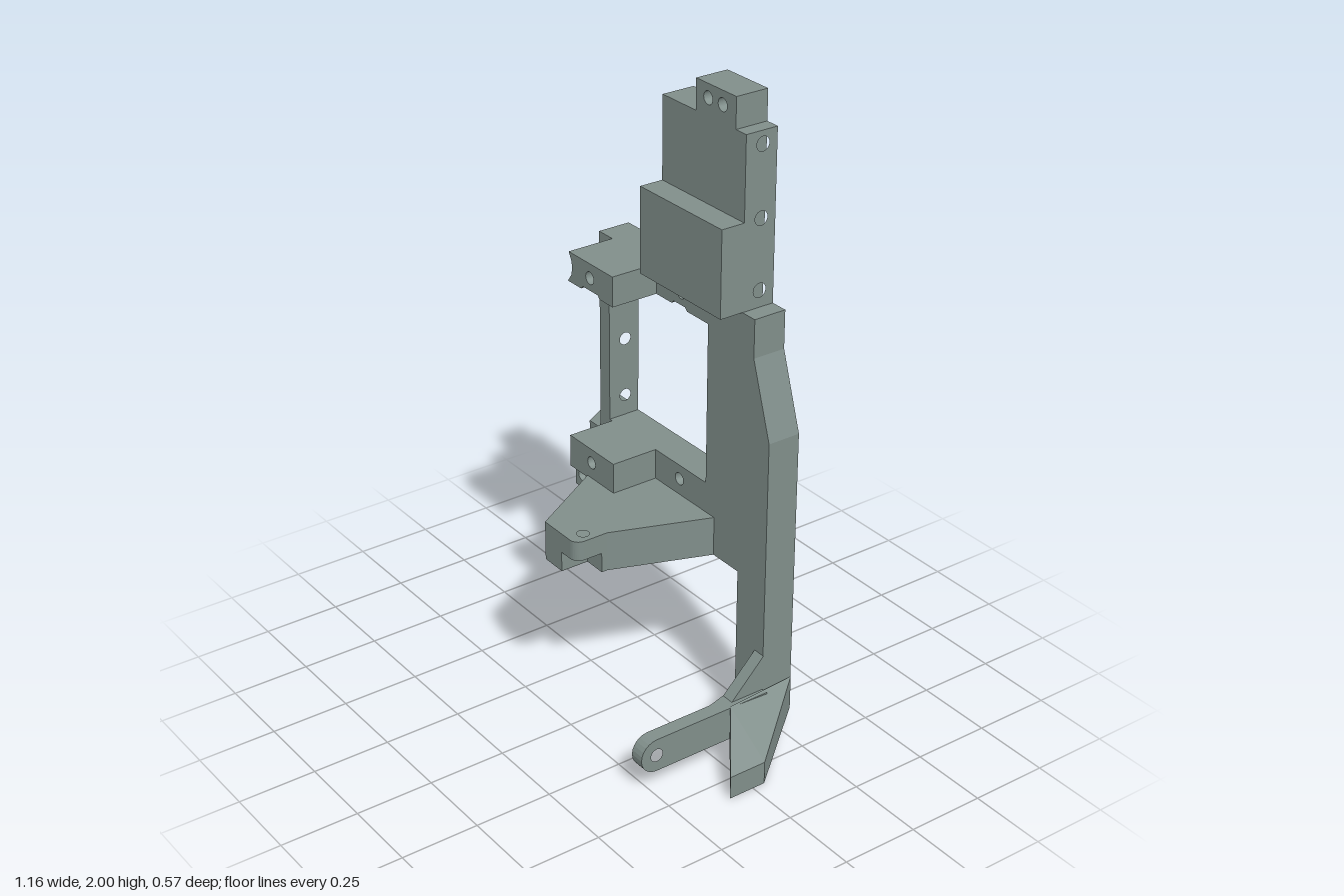
import * as THREE from 'three';

const BACK = -0.287, FRONT = -0.178; // depth range of the main plate

export function createModel() {
  const group = new THREE.Group();
  const grey = new THREE.MeshStandardMaterial({ color: 0x808e8a });
  grey.name = 'greenGrey';

  function add(name, geometry) {
    const mesh = new THREE.Mesh(geometry, grey);
    mesh.name = name;
    group.add(mesh);
  }

  // Prism from an outline with round holes, pushed along z, x or y.
  // Outline coordinates: z -> [x, y], x -> [z, y], y -> [x, z].
  function prism(name, axis, from, to, points, holes = []) {
    const map = ([a, b]) =>
      axis === 'x' ? new THREE.Vector2(-a, b) :
      axis === 'y' ? new THREE.Vector2(a, -b) : new THREE.Vector2(a, b);
    const shape = new THREE.Shape(points.map(map));
    for (const [a, b, r = 0.02] of holes) {
      const c = map([a, b]);
      shape.holes.push(new THREE.Path().absarc(c.x, c.y, r, 0, Math.PI * 2, true));
    }
    const geometry = new THREE.ExtrudeGeometry(shape, { depth: to - from, bevelEnabled: false, curveSegments: 20 });
    geometry.translate(0, 0, from);
    if (axis === 'x') geometry.rotateY(Math.PI / 2);
    if (axis === 'y') geometry.rotateX(-Math.PI / 2);
    add(name, geometry);
  }

  const rect = (a0, b0, a1, b1) => [[a0, b0], [a1, b0], [a1, b1], [a0, b1]];
  const arc = (cx, cy, r, start, end, n = 12) => Array.from({ length: n + 1 }, (_, i) => {
    const t = start + (end - start) * i / n;
    return [cx + r * Math.cos(t), cy + r * Math.sin(t)];
  });

  // Main plate with leg, window and top tab
  prism('mainPlate', 'z', BACK, FRONT, [
    [0.26, 0.065], [0.39, 0.065], [0.39, 1.01], [0.312, 1.25], [0.312, 1.372],
    [0.21, 1.372], [0.21, 2], [0.03, 2], [0.03, 1.905], [-0.08, 1.905], [-0.08, 1.372],
    [-0.39, 1.372], [-0.39, 1.275], [-0.31, 1.275], [-0.3, 1.285], [-0.225, 1.285], [-0.215, 1.275],
    [-0.075, 1.275], [-0.065, 1.285], [-0.01, 1.285], [0, 1.275], [0.1, 1.275],
    [0.1, 0.752], [-0.44, 0.752], [-0.44, 0.7], [-0.5, 0.7], [-0.5, 0.52], [-0.58, 0.52],
    [-0.58, 0.435], [-0.39, 0.435], [-0.39, 0.523], [0.26, 0.523],
  ], [
    [0.085, 1.958], [0.15, 1.958], [-0.265, 1.325], [-0.03, 1.325],
    [-0.265, 0.705], [-0.03, 0.705], [-0.545, 0.48], [-0.445, 0.48],
  ]);

  // Edge strips drilled from the side
  const zHole = -0.237;
  prism('windowColumn', 'x', -0.44, -0.39, rect(BACK, 0.752, FRONT, 1.372),
    [0.82, 1.015, 1.21].map(y => [zHole, y]));
  prism('upperLeftEdge', 'x', 0.21, 0.256, rect(BACK, 1.372, FRONT, 1.905),
    [1.425, 1.645, 1.865].map(y => [zHole, y, 0.022]));
  prism('upperRightEdge', 'x', -0.124, -0.08, rect(BACK, 1.372, FRONT, 1.905),
    [1.53, 1.77].map(y => [zHole, y, 0.022]));

  // Sloped shoulder beside the column
  prism('shoulderWedge', 'x', -0.5, -0.44, [[BACK, 0.7], [FRONT, 0.7], [BACK, 0.762]]);

  // Raised block on the upper panel
  prism('upperBlock', 'z', FRONT, -0.1, rect(-0.124, 1.372, 0.256, 1.645));

  // Brackets above and below the window
  prism('upperBracket', 'z', FRONT, -0.02, [
    [-0.378, 1.275], [-0.31, 1.275], [-0.3, 1.285], [-0.225, 1.285], [-0.215, 1.275],
    [-0.15, 1.275], [-0.15, 1.372], [-0.372, 1.372], [-0.358, 1.345], [-0.355, 1.323], [-0.36, 1.3],
  ], [[-0.265, 1.325]]);
  prism('lowerBracket', 'z', FRONT, -0.02, rect(-0.378, 0.645, -0.15, 0.752), [[-0.265, 0.705]]);

  // Tapered shelf with a drilled, undercut corner
  prism('shelfTop', 'y', 0.588, 0.652, [
    [-0.38, FRONT], [0.143, FRONT], [0.028, 0.13],
    ...arc(-0.002, 0.212, 0.03, 0, Math.PI / 2, 8), [-0.132, 0.242],
  ], [[-0.01, 0.19, 0.019]]);
  prism('shelfBase', 'y', 0.523, 0.588, [
    [-0.38, FRONT], [0.143, FRONT], [0.028, 0.13], [0.028, 0.15],
    [-0.047, 0.15], [-0.047, 0.242], [-0.132, 0.242],
  ]);

  // Forward arm with rounded end, its side taper and gusset
  prism('arm', 'x', 0.366, 0.413, [
    [FRONT, 0.065], ...arc(0.23, 0.12, 0.055, -Math.PI / 2, Math.PI / 2), [FRONT, 0.175],
  ], [[0.23, 0.12, 0.021]]);
  prism('armTaper', 'y', 0.065, 0.175, [[0.318, FRONT], [0.366, FRONT], [0.366, 0]]);
  prism('gusset', 'x', 0.35, 0.392, [[FRONT, 0.175], [-0.062, 0.175], [FRONT, 0.293]]);

  // Splayed foot: a box whose outer end is moved forward and down
  const foot = new THREE.BoxGeometry(1, 1, 1).toNonIndexed();
  const p = foot.attributes.position;
  for (let i = 0; i < p.count; i++) {
    const outer = p.getX(i) > 0, top = p.getY(i) > 0, front = p.getZ(i) > 0;
    if (outer) p.setXYZ(i, 0.577, top ? 0.075 : 0, front ? 0.085 : -0.042);
    else p.setXYZ(i, front ? 0.41 : 0.392, top ? 0.178 : 0.065, front ? -0.042 : BACK);
  }
  foot.computeVertexNormals();
  add('foot', foot);

  return group;
}
